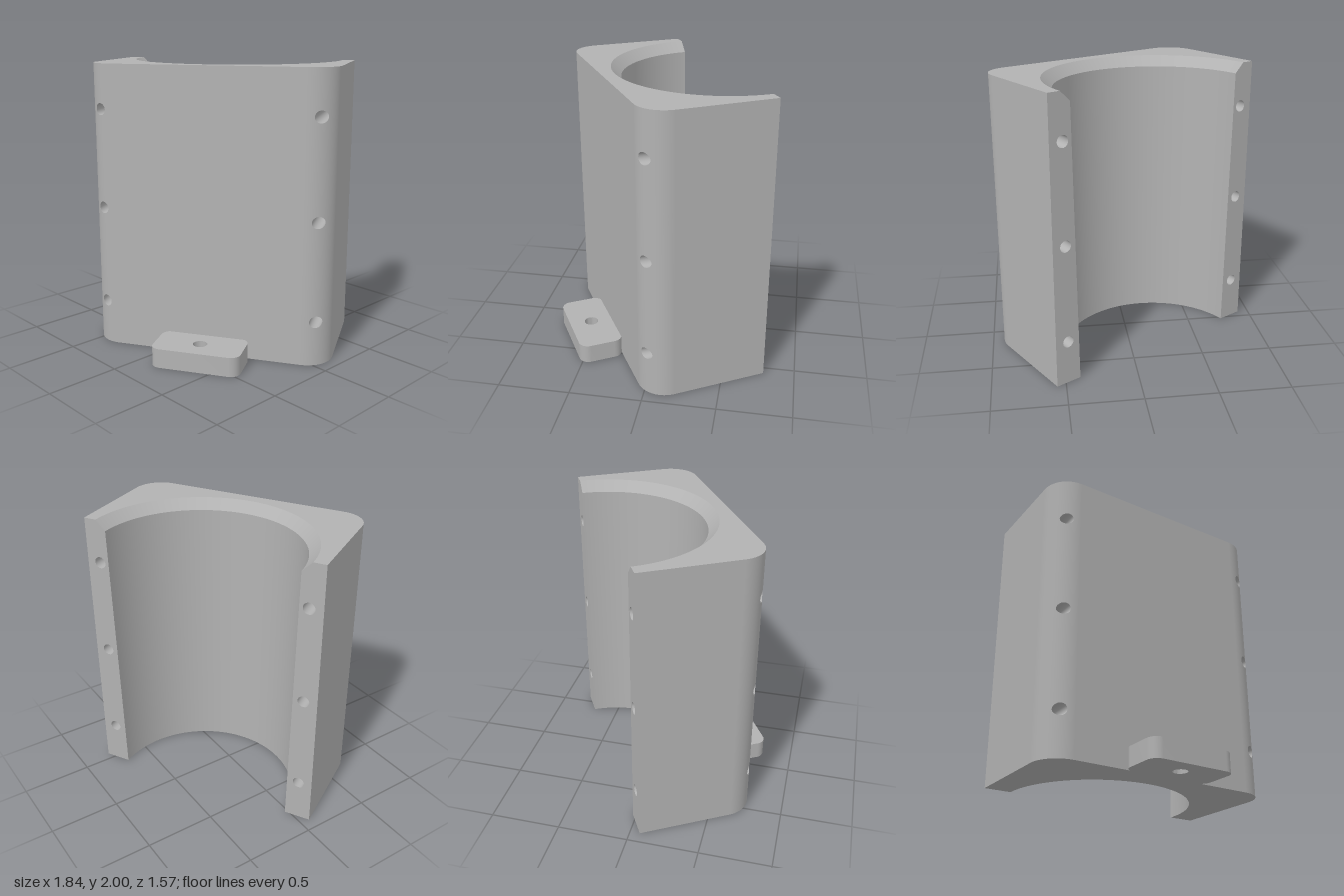
import * as THREE from 'three';
import { toCreasedNormals } from 'three/addons/utils/BufferGeometryUtils.js';
import { ParametricGeometry } from 'three/addons/geometries/ParametricGeometry.js';

// Half clamp block: half width, depth, corner radius, height
const W = 0.855, D = 0.858, C = 0.19, H = 2;
// Tapered bore with a chamfered mouth
const R_BOTTOM = 0.668, R_TOP = 0.696, R_MOUTH = 0.766, Y_CHAMFER = 1.93;
// Bolt holes
const HOLE_X = 0.758, HOLE_R = 0.041, HOLE_Y = [0.31, 1, 1.69], SPLIT_Y = [0, 0.655, 1.345, 2];

export function createModel() {
  const model = new THREE.Group();
  const grey = new THREE.MeshStandardMaterial({ color: 0xb2b2b2 });
  grey.name = 'plain grey';

  const block = new THREE.Group();
  block.name = 'halfClamp';
  block.position.set(-0.18, 0, -0.3575);
  block.rotation.y = Math.PI / 6;
  model.add(block);

  const add = (name, geometry, x = 0, y = 0, z = 0) => {
    const mesh = new THREE.Mesh(geometry, grey);
    mesh.name = name;
    mesh.position.set(x, y, z);
    block.add(mesh);
    return mesh;
  };

  // End faces: rounded block outline with a half-round cut
  const endFace = (radius, up) => {
    const pts = [[-W, 0]];
    for (const s of [-1, 1]) {
      for (let i = 0; i <= 24; i++) {
        const a = (s < 0 ? 1 - i / 24 : i / 24) * Math.PI / 2;
        pts.push([s * (W - C + C * Math.sin(a)), D - C + C * Math.cos(a)]);
      }
    }
    pts.push([W, 0]);
    for (let i = 0; i <= 64; i++) {
      const a = i / 64 * Math.PI;
      pts.push([radius * Math.cos(a), radius * Math.sin(a)]);
    }
    const shape = new THREE.Shape(pts.map(([x, z]) => new THREE.Vector2(x, up ? -z : z)));
    return new THREE.ShapeGeometry(shape).rotateX(up ? -Math.PI / 2 : Math.PI / 2);
  };
  add('topFace', endFace(R_MOUTH, true), 0, H);
  add('bottomFace', endFace(R_BOTTOM, false));

  // Bore surfaces, profiles run downwards so they face the axis
  const bore = (r1, y1, r0, y0) => new THREE.LatheGeometry(
    [new THREE.Vector2(r1, y1), new THREE.Vector2(r0, y0)], 64, -Math.PI / 2, Math.PI);
  add('bore', bore(R_TOP, Y_CHAMFER, R_BOTTOM, 0));
  add('boreChamfer', bore(R_MOUTH, H, R_TOP, Y_CHAMFER));

  // Flat outer walls
  add('frontWall', new THREE.PlaneGeometry(2 * (W - C), H), 0, H / 2, D);

  for (const s of [-1, 1]) {
    const side = s > 0 ? 'left' : 'right';
    add(side + 'Wall', new THREE.PlaneGeometry(D - C, H).rotateY(s * Math.PI / 2),
      s * W, H / 2, (D - C) / 2);

    // Joint face with three bolt holes, turned to face backwards
    const joint = new THREE.Shape([[R_BOTTOM, 0], [W, 0], [W, H], [R_MOUTH, H], [R_TOP, Y_CHAMFER]]
      .map(([x, y]) => new THREE.Vector2(-s * x, y)));
    for (const y of HOLE_Y) {
      joint.holes.push(new THREE.Path().absarc(-s * HOLE_X, y, HOLE_R, 0, Math.PI * 2));
    }
    add(side + 'JointFace', new THREE.ShapeGeometry(joint, 24).rotateY(Math.PI));

    HOLE_Y.forEach((hy, k) => {
      const rim = (a) => Math.asin((HOLE_X + HOLE_R * Math.cos(a) - (W - C)) / C);

      // Rounded corner, spread from the hole rim out to its rectangle
      add(side + 'Corner', new ParametricGeometry((t, v, p) => {
        const a = s * v * Math.PI * 2, c = Math.cos(a), n = Math.sin(a);
        const m = Math.max(Math.abs(c), Math.abs(n));
        const edgePhi = Math.PI / 4 * (1 + c / m);
        const edgeY = hy + n / m * (n > 0 ? SPLIT_Y[k + 1] - hy : hy - SPLIT_Y[k]);
        const phi = THREE.MathUtils.lerp(rim(a), edgePhi, t);
        const y = THREE.MathUtils.lerp(hy + HOLE_R * n, edgeY, t);
        p.set(s * (W - C + C * Math.sin(phi)), y, D - C + C * Math.cos(phi));
      }, 10, 64));

      // Bolt hole lining, ending on the rounded corner
      add(side + 'BoltHole', new ParametricGeometry((t, v, p) => {
        const a = s * v * Math.PI * 2;
        p.set(s * (HOLE_X + HOLE_R * Math.cos(a)), hy + HOLE_R * Math.sin(a),
          t * (D - C + C * Math.cos(rim(a))));
      }, 1, 64));
    });
  }

  // Mounting tab with rounded corners and a screw hole
  const w = 0.31, d = 0.158, r = 0.07;
  const tab = new THREE.Shape();
  tab.absarc(w - r, d - r, r, 0, Math.PI / 2);
  tab.absarc(-w + r, d - r, r, Math.PI / 2, Math.PI);
  tab.absarc(-w + r, -d + r, r, Math.PI, Math.PI * 1.5);
  tab.absarc(w - r, -d + r, r, Math.PI * 1.5, Math.PI * 2);
  tab.holes.push(new THREE.Path().absarc(0, 0, 0.05, 0, Math.PI * 2));
  const tabGeometry = new THREE.ExtrudeGeometry(tab,
    { depth: 0.135, bevelEnabled: false, curveSegments: 16 }).rotateX(-Math.PI / 2);
  add('mountingTab', toCreasedNormals(tabGeometry, 0.6), 0, 0, 1.008);

  return model;
}
